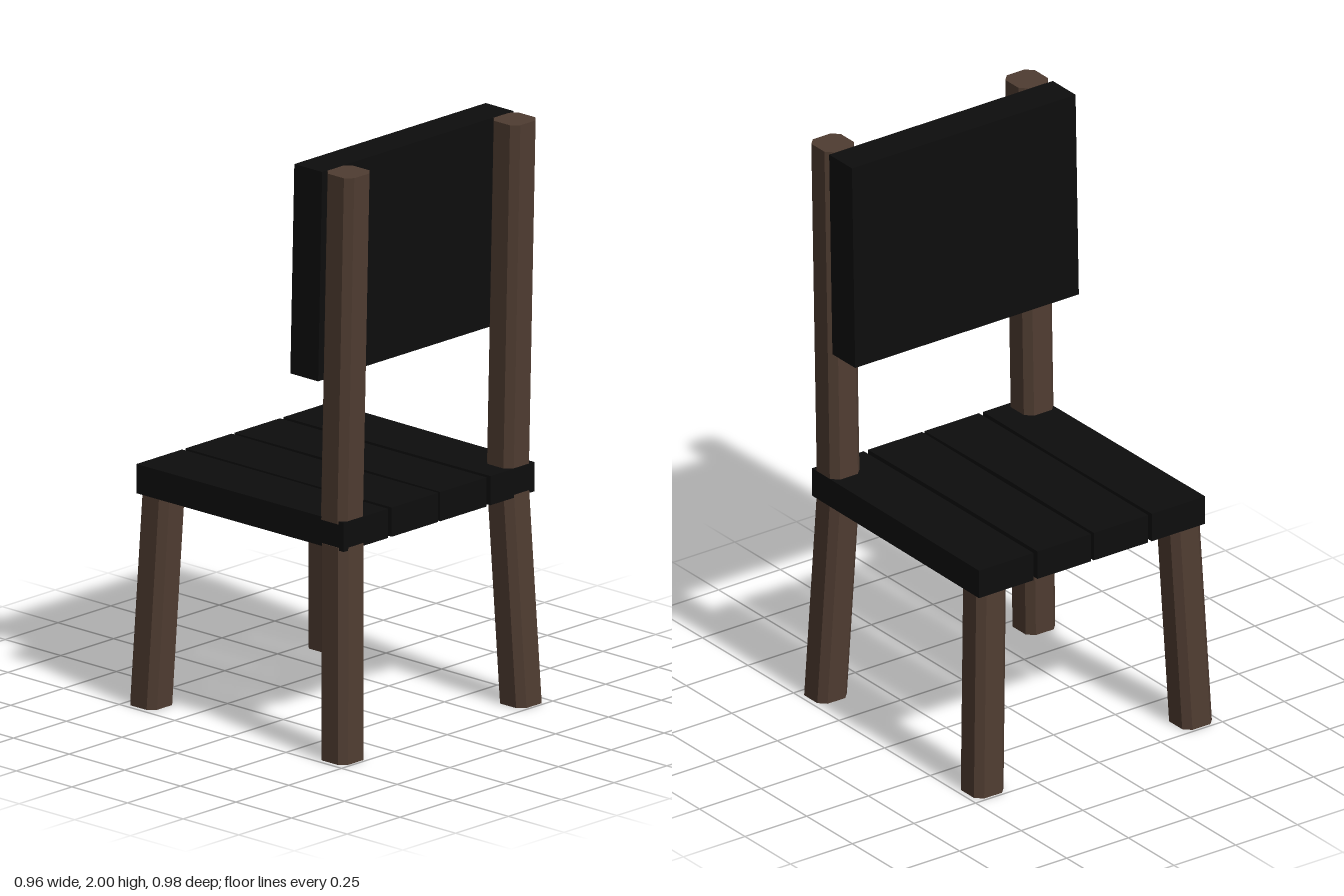
import * as THREE from 'three';

const wood = new THREE.MeshStandardMaterial({ color: 0x4f3c31, flatShading: true });
const dark = new THREE.MeshStandardMaterial({ color: 0x0d0d0d, flatShading: true });

// Upright prism over an [x, z] outline; its top is shifted sideways by (dx, dz).
function prism(name, outline, y0, y1, dx, dz, material) {
  const shape = new THREE.Shape(outline.map(([x, z]) => new THREE.Vector2(x, -z)));
  const geo = new THREE.ExtrudeGeometry(shape, { depth: y1 - y0, bevelEnabled: false });
  geo.rotateX(-Math.PI / 2);
  const pos = geo.attributes.position;
  for (let i = 0; i < pos.count; i++) {
    const t = pos.getY(i) / (y1 - y0);
    pos.setXYZ(i, pos.getX(i) + dx * t, pos.getY(i) + y0, pos.getZ(i) + dz * t);
  }
  geo.computeVertexNormals();
  const mesh = new THREE.Mesh(geo, material);
  mesh.name = name;
  return mesh;
}

// Square with cut corners, centred on (x, z)
function post(x, z) {
  const h = 0.06, k = 0.036;
  return [[h, k], [k, h], [-k, h], [-h, k], [-h, -k], [-k, -h], [k, -h], [h, -k]]
    .map(([a, b]) => [x + a, z + b]);
}

export function createModel() {
  const chair = new THREE.Group();
  chair.name = 'chair';

  for (const [side, s] of [['left', 1], ['right', -1]]) {
    // Splayed legs
    for (const [end, e] of [['backrest', 1], ['open', -1]]) {
      chair.add(prism(`${side} leg, ${end} end`, post(s * 0.422, e * 0.43), 0, 0.73,
        s * -0.03, e * -0.028, wood));
    }
    // Leaning backrest posts
    chair.add(prism(`${side} backrest post`, post(s * 0.393, 0.4), 0.81, 2, 0, 0.03, wood));
  }

  // Slightly uneven seat planks: x edges at z = -0.46, the middle and z = 0.46
  const planks = [
    [[-0.456, -0.24], [-0.453, -0.237], [-0.45, -0.24]],
    [[-0.225, -0.005], [-0.225, -0.009], [-0.223, -0.003]],
    [[0.007, 0.223], [0.01, 0.222], [0.007, 0.226]],
    [[0.24, 0.46], [0.24, 0.456], [0.244, 0.453]],
  ];
  planks.forEach(([a, b, c], i) => {
    const outline = [[a[0], -0.464], [b[0], 0], [c[0], 0.462], [c[1], 0.462], [b[1], 0], [a[1], -0.464]];
    chair.add(prism(`seatPlank${i + 1}`, outline, 0.72, 0.82, 0, 0, dark));
  });

  // Backrest board
  chair.add(prism('backrestBoard',
    [[-0.453, 0.225], [-0.453, 0.35], [0.453, 0.35], [0.453, 0.225]],
    1.28, 2, 0, 0.018, dark));

  return chair;
}
